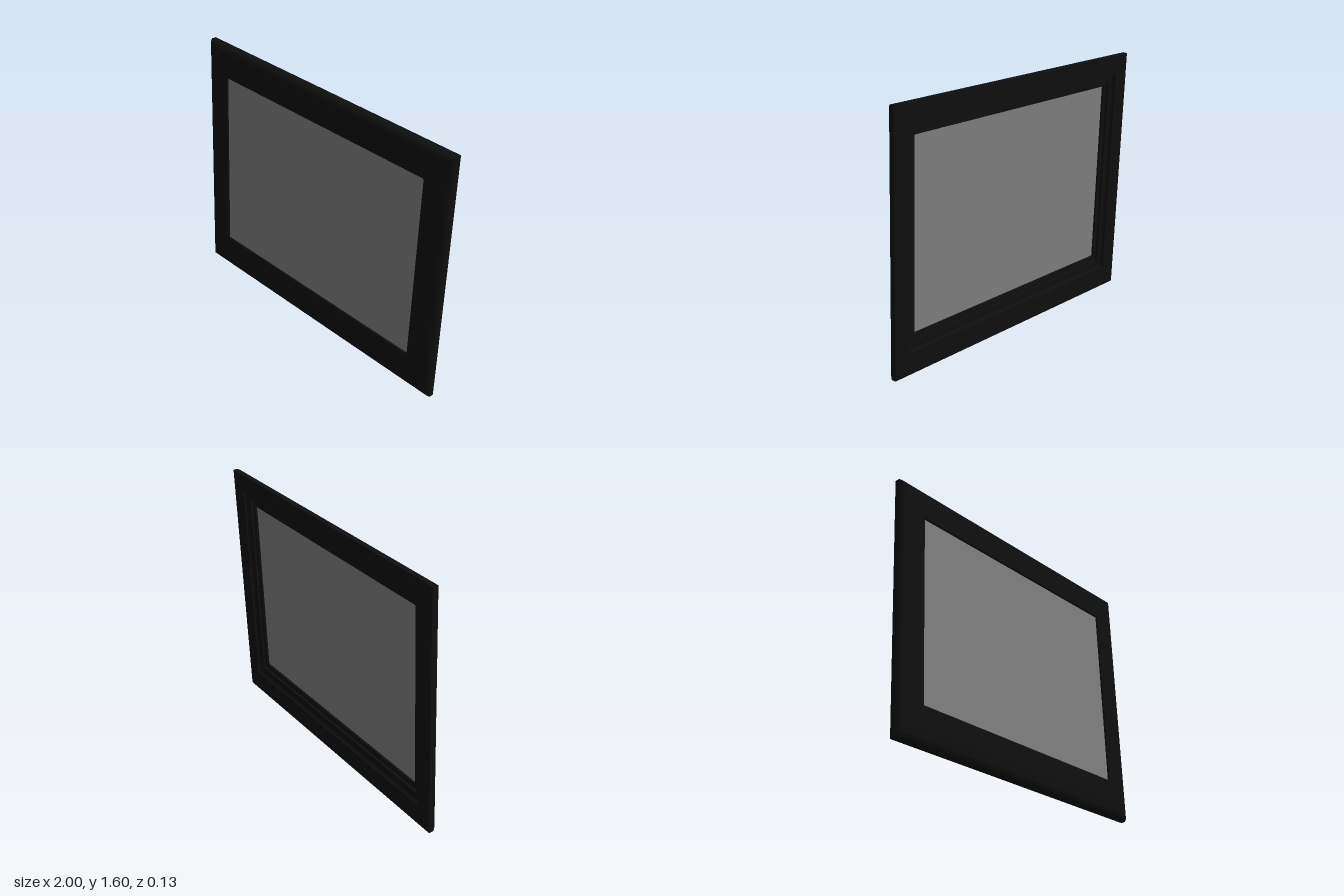
import * as THREE from 'three';

const HEIGHT = 1.603, TILT = 0.045;
// outer and inner edges of the frame: left, right, bottom, top
const OUTER = [-1, 1, 0, HEIGHT];
const INNER = [-0.82, 0.82, 0.227, 1.406];

// moulding section: [0 = outer edge .. 1 = opening, depth from the back]
const PROFILE = [
  [0, 0], [0, 0.03], [0.06, 0.047], [0.14, 0.056], [0.35, 0.0615], [0.6, 0.063],
  [0.96, 0.062], [1, 0.059], [1, 0.036],
  [0.84, 0.036], [0.84, 0.02], [0.64, 0.02], [0.6, 0.012], [0.6, 0],
];

// the four mitred corners at one point of the section, anticlockwise from the front
function corners([t, z]) {
  const [l, r, b, u] = OUTER.map((o, i) => THREE.MathUtils.lerp(o, INNER[i], t));
  return [[l, b, z], [r, b, z], [r, u, z], [l, u, z]];
}

function frameGeometry() {
  const rings = PROFILE.map(corners);
  const pos = [];
  rings.forEach((ring, i) => {
    const next = rings[(i + 1) % rings.length];
    for (let k = 0; k < 4; k++) {
      const m = (k + 1) % 4;
      pos.push(...ring[k], ...ring[m], ...next[m], ...ring[k], ...next[m], ...next[k]);
    }
  });
  const geo = new THREE.BufferGeometry();
  geo.setAttribute('position', new THREE.Float32BufferAttribute(pos, 3));
  geo.computeVertexNormals();
  return geo;
}

export function createModel() {
  const model = new THREE.Group();
  model.name = 'pictureFrame';

  // mitred moulding
  const frame = new THREE.Mesh(frameGeometry(),
    new THREE.MeshStandardMaterial({ color: 0x0f0f0f, flatShading: true }));
  frame.name = 'frame';

  // picture pane, set just behind the front lip
  const [l, r, b, u] = INNER;
  const pane = new THREE.Mesh(new THREE.PlaneGeometry(r - l, u - b),
    new THREE.MeshStandardMaterial({ color: 0x808080, side: THREE.DoubleSide }));
  pane.position.set(0, (b + u) / 2, 0.049);
  pane.name = 'picturePane';

  // lean back slightly
  model.add(frame, pane);
  model.rotation.x = -TILT;
  model.position.z = 0.006;
  return model;
}
